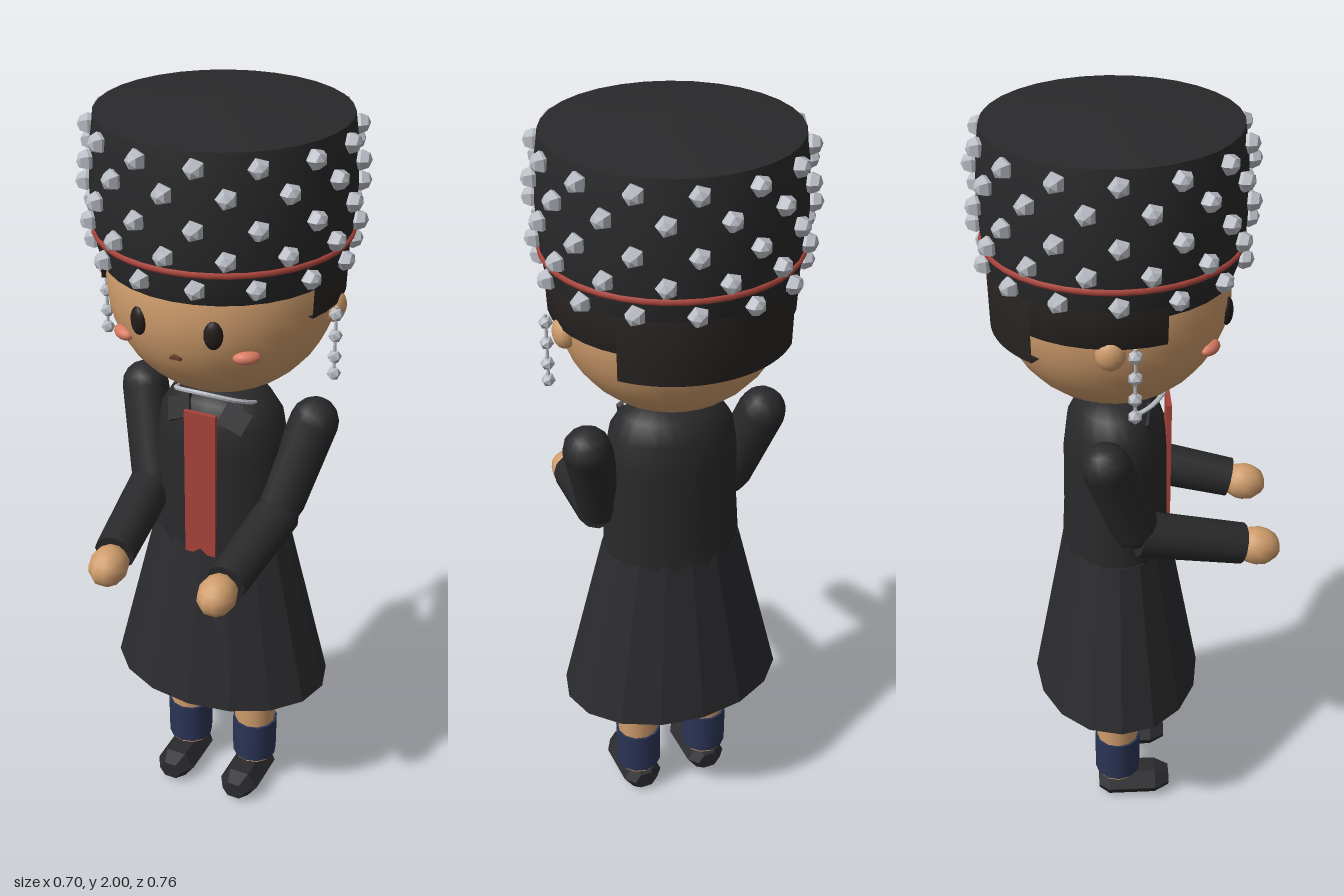
import * as THREE from 'three';

const paint = (color, flat = false, double = false) => new THREE.MeshStandardMaterial({
  color, flatShading: flat, side: double ? THREE.DoubleSide : THREE.FrontSide });
const black = paint(0x29292b), blackFlat = paint(0x2b2b2e, true, true), hairMat = paint(0x2a2624, false, true);
const skin = paint(0xd09d6c), red = paint(0xa8433b), navy = paint(0x2b3455), silver = paint(0xb9bdc4, true);
const eyeMat = paint(0x241c1a), cheekMat = paint(0xd97a62), mouthMat = paint(0x7a4a38);
const CZ = -0.035; // z of the body axis

export function createModel() {
  const root = new THREE.Group();
  const V = (x, y, z) => new THREE.Vector3(x, y, z);

  function add(name, geo, mat, pos = [0, 0, 0], scale = [1, 1, 1], parent = root) {
    const m = new THREE.Mesh(geo, mat);
    m.name = name;
    m.position.set(...pos);
    m.scale.set(...scale);
    parent.add(m);
    return m;
  }
  const lathe = (pts, seg, start = 0, len = Math.PI * 2) =>
    new THREE.LatheGeometry(pts.map(p => new THREE.Vector2(...p)), seg, start, len);

  // Rounded or open limb section running from a to b
  function limb(name, a, b, r0, r1, mat, capped = false) {
    const d = b.clone().sub(a);
    const geo = capped ? new THREE.CapsuleGeometry(r0, d.length(), 4, 12)
      : new THREE.CylinderGeometry(r1, r0, d.length(), 12);
    const m = add(name, geo, mat, a.clone().add(b).multiplyScalar(0.5).toArray());
    m.quaternion.setFromUnitVectors(V(0, 1, 0), d.normalize());
  }

  // Head and hair
  add('head', new THREE.SphereGeometry(0.285, 28, 20), skin, [0, 1.56, CZ]);
  const hair = (name, y, half) => add(name,
    lathe([[0.265, y], [0.298, y], [0.302, 1.64]], 24, Math.PI - half, 2 * half), hairMat, [0, 0, CZ]);
  hair('hairBand', 1.545, 1.95);
  hair('backHair', 1.475, 0.84);

  // Hat with a low conical top and a piped band
  const hat = new THREE.Group();
  hat.name = 'hat';
  hat.position.z = CZ;
  root.add(hat);
  const hatProfile = [[0.289, 1.61], [0.302, 1.65], [0.312, 1.72], [0.316, 1.8], [0.312, 1.9], [0.302, 1.972]];
  add('hatSide', lathe(hatProfile, 32), black, undefined, undefined, hat);
  add('hatTop', lathe([[0.302, 1.972], [0.15, 1.992], [0, 2]], 32), black, undefined, undefined, hat);
  add('hatUnderside', lathe([[0, 1.61], [0.289, 1.61]], 32), black, undefined, undefined, hat);
  add('hatPiping', new THREE.TorusGeometry(0.308, 0.008, 6, 40).rotateX(Math.PI / 2), red,
    [0, 1.692, 0], undefined, hat);

  // Staggered rows of studs
  const studGeo = new THREE.SphereGeometry(0.026, 5, 4).rotateX(Math.PI / 2);
  const rows = [[1.655, 0.309], [1.73, 0.319], [1.8, 0.322], [1.875, 0.32], [1.937, 0.312]];
  rows.forEach(([y, r], row) => {
    for (let i = 0; i < 14; i++) {
      const a = (i + (row % 2 ? 0 : 0.5)) / 14 * Math.PI * 2;
      const stud = add('stud', studGeo, silver, [r * Math.sin(a), y, r * Math.cos(a)], undefined, hat);
      stud.rotation.y = a;
    }
  });

  // Face
  const dot = new THREE.SphereGeometry(1, 14, 10);
  const mouth = add('mouth', new THREE.CylinderGeometry(0.018, 0.018, 0.012, 3).rotateX(Math.PI / 2),
    mouthMat, [0, 1.46, 0.232], [1, 0.6, 1]);
  mouth.rotation.z = Math.PI;
  mouth.rotation.x = 0.3;

  // Torso, skirt and tie
  add('torso', lathe([[0.186, 0.83], [0.178, 0.95], [0.175, 1.12], [0.162, 1.2], [0.13, 1.25], [0.08, 1.275], [0, 1.28]], 24),
    black, [0, 0, -0.032], [1, 1, 0.755]);
  add('neck', new THREE.CylinderGeometry(0.06, 0.07, 0.1, 14), skin, [0, 1.27, CZ]);
  add('skirt', lathe([[0.303, 0.39], [0.188, 0.85]], 16), blackFlat, [0, 0, -0.032], [1, 1, 0.74]);
  add('skirtTop', lathe([[0.188, 0.85], [0.17, 0.853]], 16), blackFlat, [0, 0, -0.032], [1, 1, 0.74]);
  add('tie', new THREE.BoxGeometry(0.085, 0.415, 0.012), red, [0, 1.037, 0.102]);
  const collar = new THREE.CatmullRomCurve3([V(-0.11, 1.245, -0.01), V(-0.085, 1.277, 0.06), V(0, 1.303, 0.105),
    V(0.085, 1.277, 0.06), V(0.11, 1.245, -0.01)]);
  add('collarTrim', new THREE.TubeGeometry(collar, 20, 0.006, 6), silver);

  for (const s of [1, -1]) {
    const side = s > 0 ? 'left' : 'right';

    // Face sides, ears and earrings
    const eye = add(side + 'Eye', dot, eyeMat, [s * 0.096, 1.533, 0.23], [0.023, 0.036, 0.014]);
    eye.rotation.y = s * 0.35;
    const cheek = add(side + 'Cheek', dot, cheekMat, [s * 0.16, 1.47, 0.185], [0.034, 0.017, 0.02]);
    cheek.rotation.y = s * 0.6;
    add(side + 'Ear', dot, skin, [s * 0.282, 1.525, -0.055], [0.028, 0.04, 0.036]);
    for (const y of [1.53, 1.475, 1.42, 1.375])
      add(side + 'EarringBead', new THREE.IcosahedronGeometry(0.018, 0), silver, [s * 0.307, y, 0]);
    limb(side + 'EarringChain', V(s * 0.307, 1.375, 0), V(s * 0.307, 1.55, 0), 0.004, 0.004, silver);

    // Lapel beside the collar
    const lapel = add(side + 'Lapel', new THREE.BoxGeometry(0.07, 0.06, 0.012), black, [s * 0.075, 1.225, 0.062]);
    lapel.rotation.set(-0.55, s * 0.35, s * -0.3);

    // Bent arm with a sleeve and hand
    limb(side + 'UpperArm', V(s * 0.238, 1.195, -0.065), V(s * 0.182, 0.985, 0.005), 0.062, 0.062, black, true);
    limb(side + 'Forearm', V(s * 0.18, 0.955, 0.02), V(s * 0.155, 0.897, 0.285), 0.06, 0.053, black);
    const hand = add(side + 'Hand', new THREE.SphereGeometry(0.05, 10, 8), skin,
      [s * 0.15, 0.885, 0.325], [1, 1, 1.2]);
    hand.rotation.x = 0.2;

    // Leg, sock and shoe
    limb(side + 'Thigh', V(s * 0.102, 0.42, CZ), V(s * 0.102, 0.7, CZ), 0.061, 0.061, skin, true);
    limb(side + 'Shin', V(s * 0.102, 0.08, CZ), V(s * 0.102, 0.39, CZ), 0.055, 0.06, skin);
    limb(side + 'Sock', V(s * 0.102, 0.09, CZ), V(s * 0.102, 0.212, CZ), 0.062, 0.063, navy);
    limb(side + 'Ankle', V(s * 0.102, 0.05, CZ), V(s * 0.102, 0.1, CZ), 0.03, 0.03, blackFlat);
    add(side + 'Shoe', lathe([[0, -0.088], [0.6, -0.088], [1, -0.06], [1, 0.07], [0.6, 0.11], [0, 0.11]], 6, Math.PI / 2)
      .rotateX(Math.PI / 2), blackFlat, [s * 0.1, 0.041, 0], [0.056, 0.046, 1]);
  }
  return root;
}
